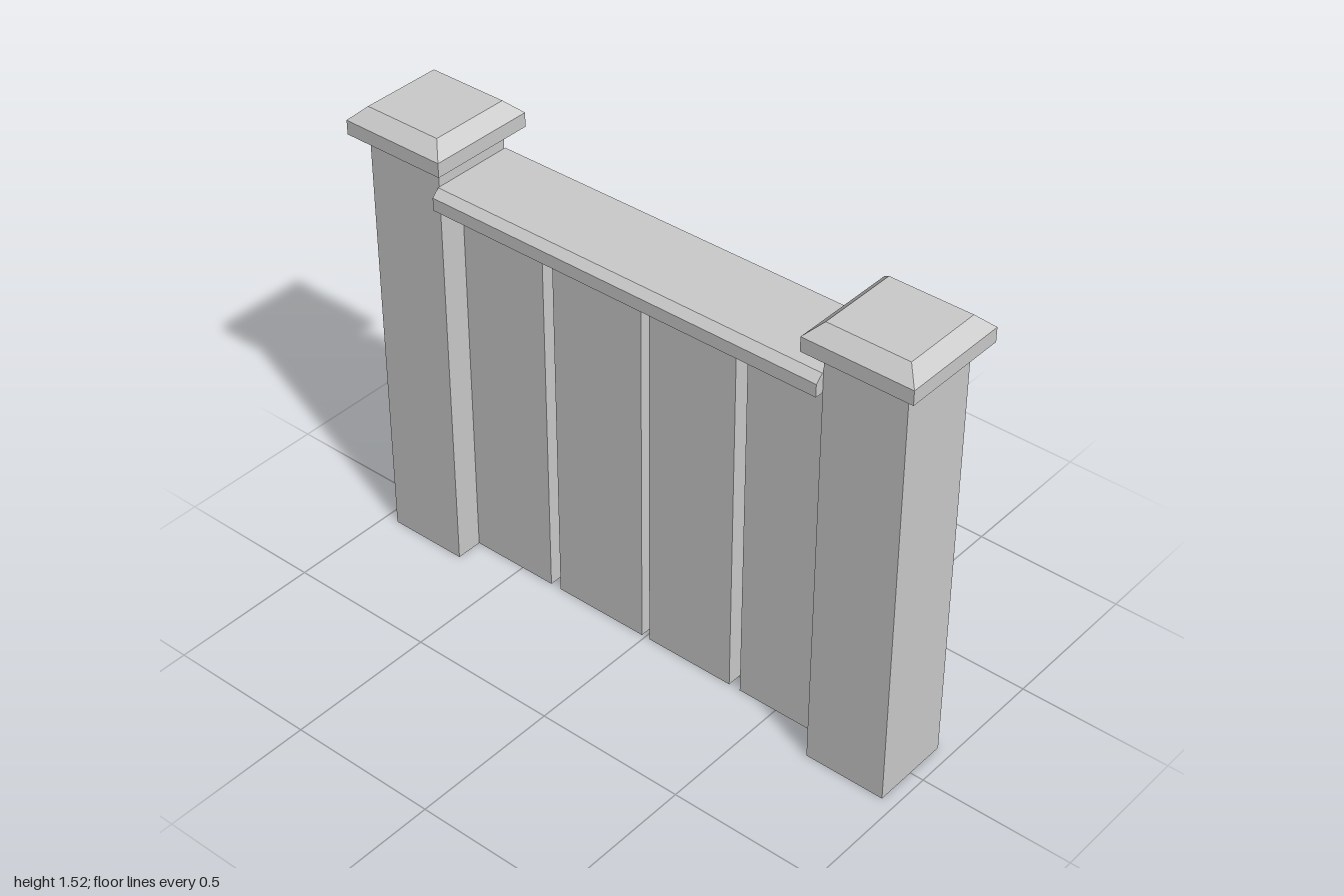
import * as THREE from 'three';

const material = new THREE.MeshStandardMaterial({ color: 0xcccccc, flatShading: true });

function add(parent, name, geometry, x = 0, y = 0, z = 0) {
  const mesh = new THREE.Mesh(geometry, material);
  mesh.name = name;
  mesh.position.set(x, y, z);
  parent.add(mesh);
  return mesh;
}

// Box given by its x, y range and depth
function slab(parent, name, x0, x1, y0, y1, depth) {
  return add(parent, name, new THREE.BoxGeometry(x1 - x0, y1 - y0, depth), (x0 + x1) / 2, (y0 + y1) / 2);
}

// Square profile (half width, height) swept around four sides
function squareLathe(points) {
  const profile = points.map(([half, y]) => new THREE.Vector2(half * Math.SQRT2, y));
  return new THREE.LatheGeometry(profile, 4, Math.PI / 4).toNonIndexed();
}

export function createModel() {
  const model = new THREE.Group();
  model.name = 'fenceSection';

  // Square posts with bevelled caps
  for (const [side, name] of [[1, 'left'], [-1, 'right']]) {
    const post = new THREE.Group();
    post.name = name + 'Post';
    post.position.x = side * 0.82;
    slab(post, 'postShaft', -0.135, 0.135, 0, 1.435, 0.27);
    add(post, 'postCap', squareLathe([[0, 1.435], [0.18, 1.435], [0.18, 1.482], [0.135, 1.525], [0, 1.525]]));
    model.add(post);
  }

  // Upright planks with narrow gaps, ending at the posts
  const planks = [[-0.685, -0.38], [-0.342, -0.013], [0.016, 0.326], [0.366, 0.685]];
  for (const [x0, x1] of planks) slab(model, 'plank', x0, x1, 0, 1.3, 0.09);

  // Top rail with bevelled upper edges
  const section = new THREE.Shape([
    [-0.164, 1.3], [0.164, 1.3], [0.164, 1.342], [0.14, 1.365], [-0.14, 1.365], [-0.164, 1.342],
  ].map(([z, y]) => new THREE.Vector2(z, y)));
  const rail = new THREE.ExtrudeGeometry(section, { depth: 1.37, bevelEnabled: false });
  rail.translate(0, 0, -0.685).rotateY(Math.PI / 2);
  add(model, 'topRail', rail);

  return model;
}
